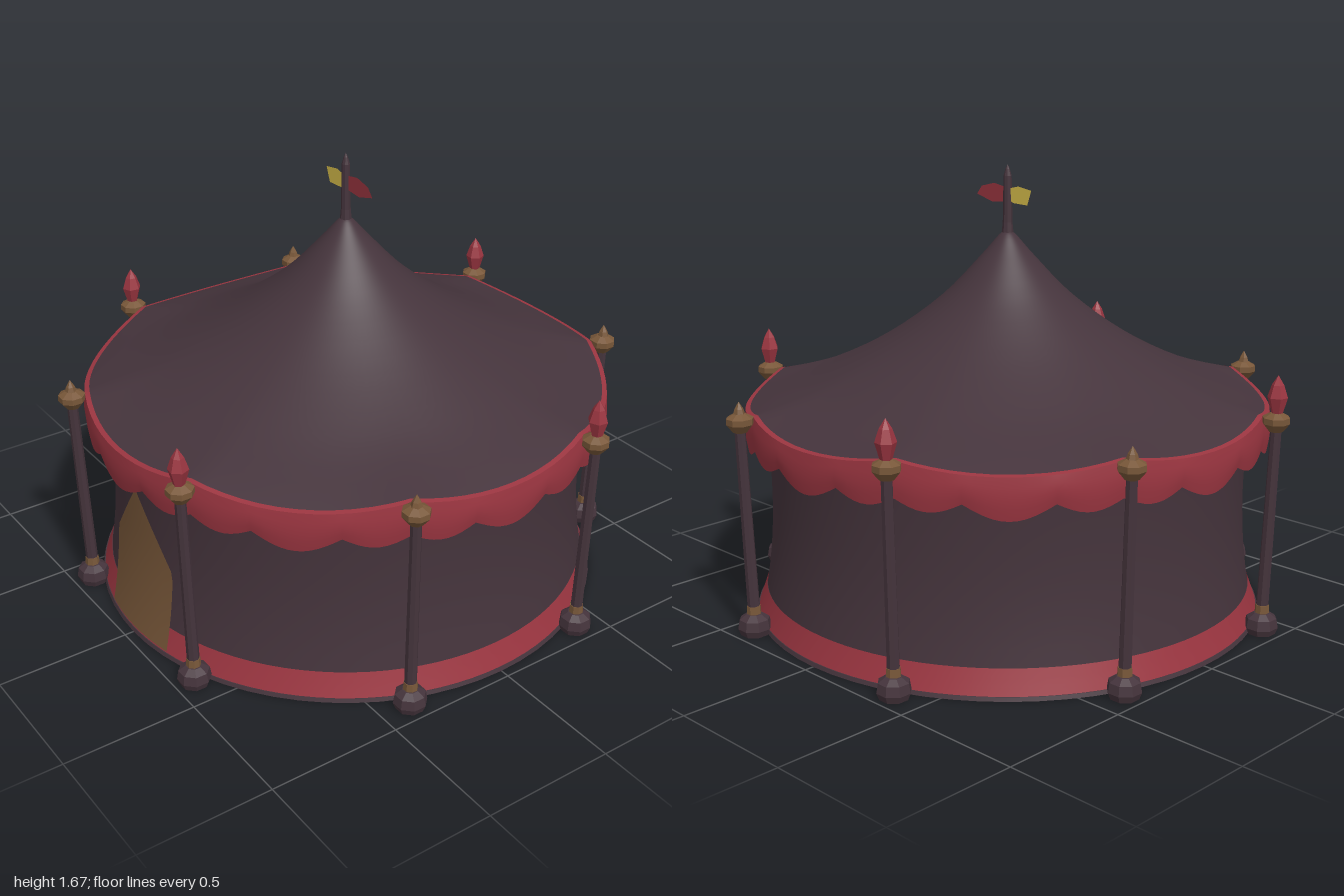
import * as THREE from 'three';

const mat = (name, color, extra = {}) => Object.assign(new THREE.MeshStandardMaterial({ color, ...extra }), { name });

// grid surface; u runs around (left to right), v runs upward
function surface(nu, nv, closed, fn) {
  const pos = [], idx = [], cols = closed ? nu : nu + 1;
  for (let j = 0; j <= nv; j++)
    for (let i = 0; i < cols; i++) pos.push(...fn(i / nu, j / nv));
  for (let j = 0; j < nv; j++)
    for (let i = 0; i < nu; i++) {
      const k = (i + 1) % cols, a = j * cols + i, b = j * cols + k;
      idx.push(a, b, b + cols, a, b + cols, a + cols);
    }
  const g = new THREE.BufferGeometry();
  g.setAttribute('position', new THREE.Float32BufferAttribute(pos, 3));
  g.setIndex(idx);
  g.computeVertexNormals();
  return g;
}

const polar = (r, y, a) => [r * Math.sin(a), y, r * Math.cos(a)];
const TAU = Math.PI * 2, PANEL = Math.PI / 4;
// position inside one cloth panel: -1 and 1 at the posts, 0 in the middle
const panelPos = a => {
  const t = a / PANEL;
  return 2 * (t - Math.round(t));
};
const eaveY = a => 0.785 + 0.035 * panelPos(a) ** 2;
// waisted wall radius at a height
const wallR = y => 0.893 + 0.05 * Math.max(0, (0.45 - y) / 0.45) ** 2 + 0.02 * Math.max(0, (y - 0.45) / 0.35) ** 2;

export function createModel() {
  const root = new THREE.Group();
  root.name = 'festivalTent';
  const canvas = mat('dark plum', 0x45343c, { side: THREE.DoubleSide });
  const red = mat('red cloth', 0x9a3540, { side: THREE.DoubleSide });
  const brown = mat('brown wood', 0x785739);
  const yellow = mat('yellow cloth', 0xd8be4c, { side: THREE.DoubleSide });
  const add = (name, geo, m, parent = root) => {
    const mesh = new THREE.Mesh(geo, m);
    mesh.name = name;
    parent.add(mesh);
    return mesh;
  };
  const flat = geo => {
    const g = geo.index ? geo.toNonIndexed() : geo;
    g.computeVertexNormals();
    return g;
  };

  // floor
  add('floor', new THREE.CylinderGeometry(0.96, 0.965, 0.014, 64), canvas).position.y = 0.007;

  // wall with a red band along the foot
  add('wall', surface(96, 12, true, (u, v) => {
    const y = 0.1 + v * 0.7;
    return polar(wallR(y), y, u * TAU);
  }), canvas);
  add('footBand', surface(96, 3, true, (u, v) => {
    const y = 0.012 + v * 0.09;
    return polar(wallR(y) + 0.015 * (1 - v) + 0.002, y, u * TAU);
  }), red);

  // pointed door following the wall
  add('door', surface(8, 16, false, (u, v) => {
    const y = 0.022 + v * 0.583;
    const half = y < 0.34 ? 0.2 : 0.2 * (0.605 - y) / 0.265;
    const x = (u - 0.5) * 2 * half, r = wallR(y) + 0.02;
    return [x, y, Math.sqrt(r * r - x * x)];
  }), brown);

  // sweeping roof, sagging between the posts
  const profile = new THREE.SplineCurve([[0.97, 0.82], [0.73, 0.888], [0.47, 1.02],
    [0.25, 1.18], [0.1, 1.335], [0.03, 1.415], [0.001, 1.43]].map(p => new THREE.Vector2(...p)));
  add('roof', surface(96, 24, true, (u, v) => {
    const p = profile.getPoint(v), a = u * TAU;
    return polar(p.x, p.y + (eaveY(a) - 0.82) * (p.x / 0.97) ** 5, a);
  }), canvas);

  // scalloped valance hanging from the eave, with a narrow top hem
  const hemBottom = a => {
    const p = Math.abs(panelPos(a));
    return p < 0.4 ? 0.69 - 0.055 * Math.cos(p / 0.4 * Math.PI / 2)
      : 0.69 - 0.035 * Math.cos((p - 0.7) / 0.3 * Math.PI / 2);
  };
  add('valance', surface(240, 4, true, (u, v) => {
    const a = u * TAU, low = hemBottom(a);
    return polar(0.978 + 0.008 * Math.sin(v * Math.PI), low + v * (eaveY(a) - low), a);
  }), red);
  add('valanceHem', surface(96, 1, true, (u, v) => {
    const a = u * TAU;
    return polar(0.98 - 0.018 * v, eaveY(a) + 0.004 * v, a);
  }), red);

  // eight posts: red buds and wooden points alternate
  const lathe = (pts, n) => flat(new THREE.LatheGeometry(pts.map(p => new THREE.Vector2(...p)), n));
  const baseGeo = lathe([[0, 0], [0.052, 0], [0.062, 0.025], [0.056, 0.06], [0.03, 0.078], [0, 0.08]], 8);
  const capGeo = lathe([[0, 0.765], [0.026, 0.77], [0.05, 0.8], [0.05, 0.822], [0.022, 0.838], [0, 0.84]], 8);
  const budGeo = lathe([[0, 0.825], [0.02, 0.835], [0.037, 0.895], [0.022, 0.94], [0, 0.975]], 6);
  const pointGeo = lathe([[0.024, 0.83], [0.016, 0.855], [0, 0.882]], 6);
  const shaftGeo = flat(new THREE.CylinderGeometry(0.02, 0.023, 0.72, 8));
  const ringGeo = flat(new THREE.CylinderGeometry(0.025, 0.027, 0.03, 8));
  for (let i = 0; i < 8; i++) {
    const post = new THREE.Group();
    post.name = 'post' + (i + 1);
    post.rotation.y = PANEL * (i + 0.5);
    root.add(post);
    add('postBase', baseGeo, canvas, post).position.z = 1.005;
    const shaft = add('postShaft', shaftGeo, canvas, post);
    shaft.position.set(0, 0.42, 1.017);
    shaft.rotation.x = 0.034;
    add('postRing', ringGeo, brown, post).position.set(0, 0.095, 1.006);
    add('postCap', capGeo, brown, post).position.z = 1.028;
    const bud = i % 2 === 0;
    add(bud ? 'postBud' : 'postPoint', bud ? budGeo : pointGeo, bud ? red : brown, post).position.z = 1.03;
  }

  // mast and its two pennants
  add('mast', lathe([[0.024, 1.4], [0.018, 1.46], [0.015, 1.63], [0.008, 1.655], [0, 1.672]], 8), canvas);
  const flag = (name, pts, m) =>
    add(name, new THREE.ShapeGeometry(new THREE.Shape(pts.map(p => new THREE.Vector2(...p)))), m);
  flag('yellowPennant', [[-0.01, 1.54], [-0.01, 1.585], [-0.055, 1.595], [-0.12, 1.585], [-0.1, 1.53], [-0.03, 1.532]], yellow);
  flag('redPennant', [[0.01, 1.535], [0.08, 1.528], [0.16, 1.55], [0.135, 1.582], [0.07, 1.598], [0.01, 1.588]], red);
  return root;
}
